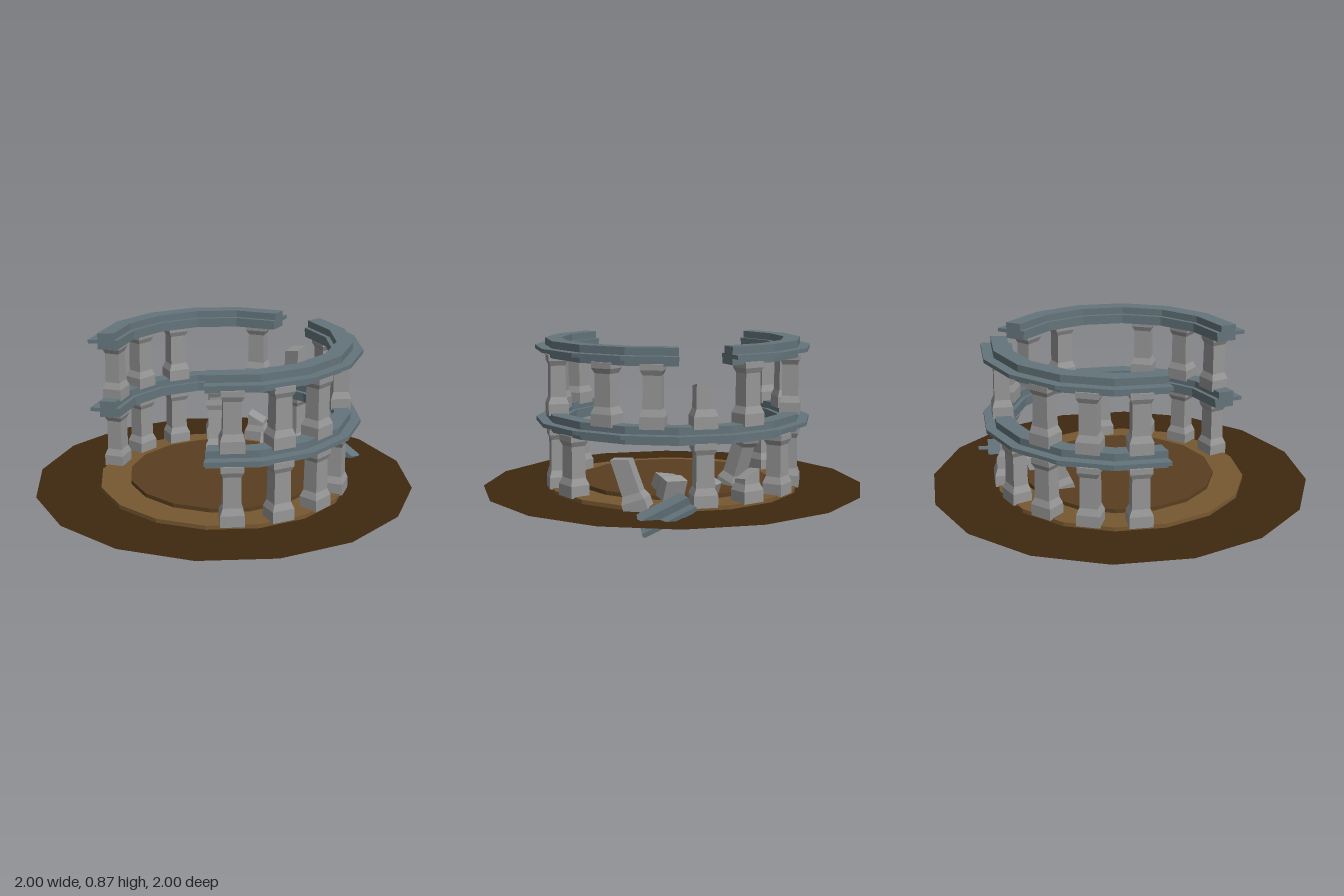
import * as THREE from 'three';
import { mergeGeometries } from 'three/addons/utils/BufferGeometryUtils.js';

const mat = (color) => new THREE.MeshStandardMaterial({ color, flatShading: true, side: THREE.DoubleSide });
const soil = mat(0x3f2810), sand = mat(0x775830), floor = mat(0x5a3f20);
const stone = mat(0x969696), slate = mat(0x64757c);
const rad = THREE.MathUtils.degToRad;
const v2 = (pts) => pts.map(([x, y]) => new THREE.Vector2(x, y));
const v3 = (a) => new THREE.Vector3(...a);

export function createModel() {
  const group = new THREE.Group();
  const add = (name, geometry, material) => {
    const mesh = new THREE.Mesh(geometry, material);
    mesh.name = name;
    group.add(mesh);
    return mesh;
  };

  // Ground and stepped floor, open underneath
  const disc = (pts) => new THREE.LatheGeometry(v2(pts), 16);
  add('ground', disc([[1, 0.085], [0.66, 0.085]]), soil);
  add('floorRing', disc([[0.66, 0.085], [0.66, 0.106], [0.5, 0.106]]), sand);
  add('innerFloor', disc([[0.5, 0.106], [0.5, 0.127], [0, 0.127]]), floor);

  // Curved beam: closed profile swept around the centre, with end caps
  const profile = [
    [0.56, 0], [0.665, 0], [0.665, 0.03], [0.717, 0.03], [0.717, 0.05],
    [0.665, 0.05], [0.665, 0.087], [0.58, 0.087], [0.58, 0.05], [0.557, 0.05], [0.557, 0.03], [0.56, 0.03],
  ];
  const beam = (from, to) => {
    const sweep = new THREE.LatheGeometry(v2([...profile, profile[0]]),
      Math.round((to - from) / 22.5), rad(from), rad(to - from));
    const caps = [from, to].map((a) =>
      new THREE.ShapeGeometry(new THREE.Shape(v2(profile))).rotateY(rad(a - 90)));
    return mergeGeometries([sweep, ...caps]);
  };
  add('lowerBeam', beam(45, 315), slate).position.y = 0.405;
  add('upperBeamLeft', beam(45, 180), slate).position.y = 0.78;
  add('upperBeamRight', beam(202.5, 315), slate).position.y = 0.78;

  // Fallen beam piece, resting behind the ring
  const fallen = add('fallenBeam', beam(168.75, 191.25).translate(0, -0.043, 0.63), slate);
  fallen.rotation.set(-0.15, 0.25, -0.43, 'YXZ');
  fallen.position.set(0.07, 0.1, -0.78);
  fallen.position.y -= new THREE.Box3().setFromObject(fallen, true).min.y;

  // Square column; a smaller height gives a broken one with a slanted top
  const H = 0.31;
  const column = (height = H, slantX = 0, slantZ = 0) => {
    const pts = [[0, 0], [0.06, 0], [0.06, 0.06], [0.046, 0.095]];
    if (height < H) pts.push([0.044, height], [0, height]);
    else pts.push([0.044, 0.255], [0.056, 0.28], [0.056, H], [0, H]);
    const geo = new THREE.LatheGeometry(v2(pts.map(([r, y]) => [r * Math.SQRT2, y])), 4)
      .rotateY(Math.PI / 4).scale(1, 1, 0.87);
    const p = geo.attributes.position;
    for (let i = 0; i < p.count; i++)
      if (p.getY(i) > height - 0.001)
        p.setY(i, height + p.getX(i) * slantX + p.getZ(i) * slantZ);
    return geo;
  };
  const stand = (name, angle, y, geo) => {
    const mesh = add(name, geo, stone), a = rad(angle);
    mesh.position.set(0.612 * Math.sin(a), y, 0.612 * Math.cos(a));
    mesh.rotation.y = a;
  };
  const LOW = 0.1, HIGH = 0.48;
  for (const a of [56.25, 78.75, 101.25, 123.75, 191.25, 236.25, 258.75, 281.25, 303.75])
    stand('lowerColumn', a, LOW, column());
  for (const a of [56.25, 78.75, 101.25, 146.25, 168.75, 213.75, 258.75, 281.25, 303.75])
    stand('upperColumn', a, HIGH, column());
  stand('brokenUpperColumn', 191.25, HIGH, column(0.2, -0.2, 0.2));
  stand('brokenLowerColumn', 213.75, LOW, column(0.14, 0.5, 0.1));

  // Leaning columns, set along an axis from foot to head
  const lean = (foot, head, turn, geo) => {
    const mesh = add('leaningColumn', geo.rotateY(turn), stone);
    mesh.position.copy(v3(foot));
    mesh.quaternion.setFromUnitVectors(new THREE.Vector3(0, 1, 0), v3(head).sub(v3(foot)).normalize());
  };
  lean([-0.285, 0.09, -0.185], [-0.365, 0.395, -0.235], 0.7, column());
  lean([0.185, 0.075, -0.6], [0.275, 0.34, -0.57], -0.3, column(0.27, 0.3));

  // Column fragments lying on the floor
  const fragment = (pos, rot) => {
    const mesh = add('fragment', column(0.13, 0.3, 0.2).translate(0, -0.06, 0), stone);
    mesh.position.set(...pos);
    mesh.rotation.set(...rot);
  };
  fragment([-0.15, 0.165, -0.47], [1.4, 0.3, 0.5]);
  fragment([0.04, 0.175, -0.47], [1.35, 0.2, -0.5]);

  return group;
}
